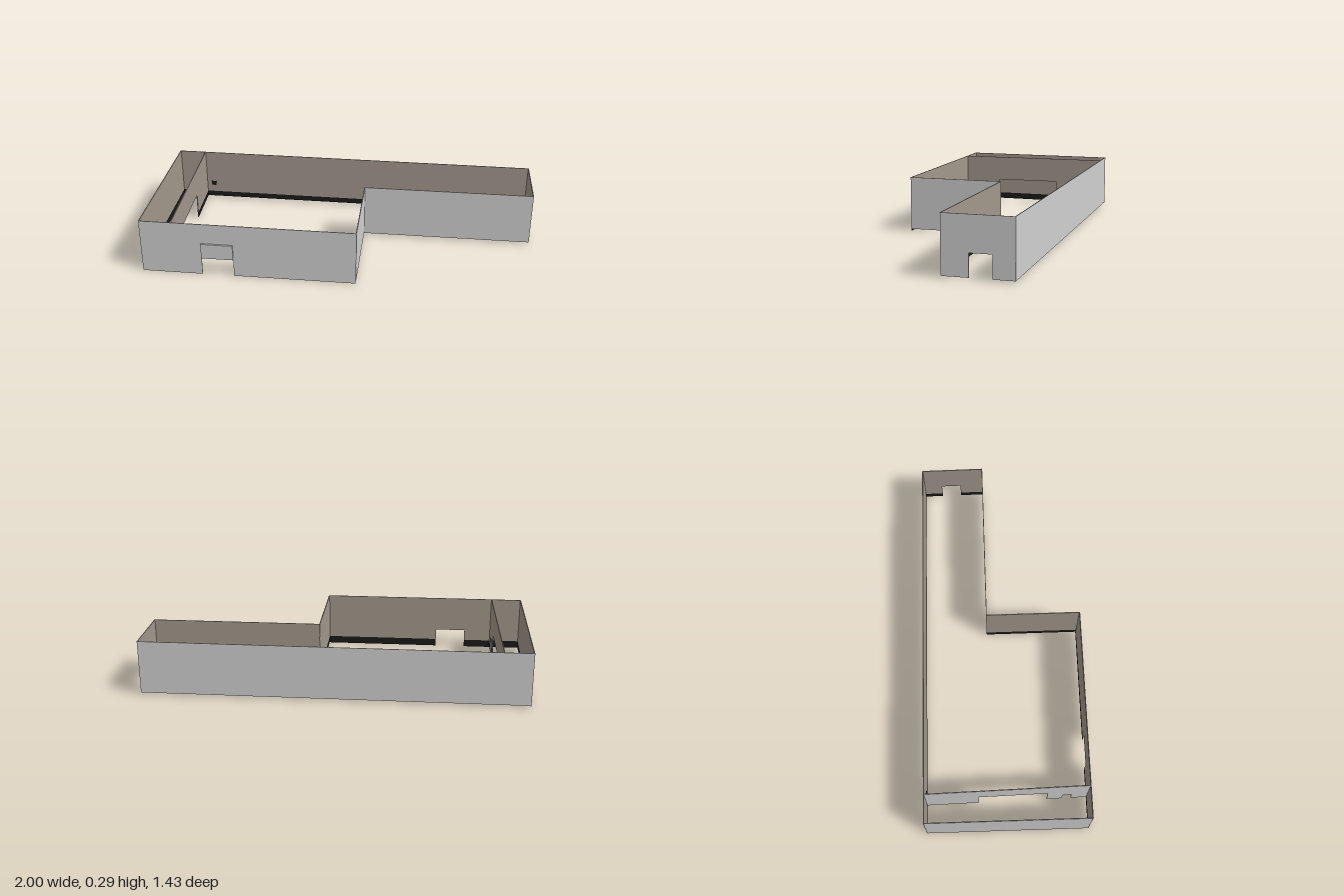
import * as THREE from 'three';

const material = (name, color) => {
  const m = new THREE.MeshStandardMaterial({ color });
  m.name = name;
  return m;
};

const TOP = 0.29;    // top of all walls
const BASE = 0.04;   // top of the dark skirting
const SKIN = 0.002;  // thickness of one wall face

export function createModel() {
  const grey = material('outer grey', 0xd0d0d0);
  const tan = material('inner tan', 0xa2988c);
  const black = material('skirting black', 0x1a1a1a);
  const model = new THREE.Group();
  model.name = 'building';

  // Thin plate in wall coordinates: x along the wall, z outwards
  function plate(parent, name, mat, x0, x1, y0, y1, z0, z1) {
    if (x1 - x0 < 1e-4 || y1 - y0 < 1e-4) return;
    const mesh = new THREE.Mesh(new THREE.BoxGeometry(x1 - x0, y1 - y0, z1 - z0), mat);
    mesh.position.set((x0 + x1) / 2, (y0 + y1) / 2, (z0 + z1) / 2);
    mesh.name = name;
    parent.add(mesh);
  }

  // Wall from a to b, grey outside, tan with skirting inside;
  // openings are [start, end, height] with start and end as fractions of the length
  function wall(name, a, b, bottom = 0.01, openings = []) {
    const dx = b[0] - a[0], dz = b[1] - a[1], length = Math.hypot(dx, dz);
    const group = new THREE.Group();
    group.name = name;
    group.position.set(a[0], 0, a[1]);
    group.rotation.y = Math.atan2(-dz, dx);
    const pieces = [];
    let from = 0;
    for (const [t0, t1, height] of openings) {
      pieces.push([from, t0, bottom], [t0, t1, height]);
      from = t1;
    }
    pieces.push([from, 1, bottom]);
    for (const [t0, t1, low] of pieces) {
      const x0 = t0 * length, x1 = t1 * length;
      plate(group, 'outerFace', grey, x0, x1, low, TOP, 0, SKIN);
      plate(group, 'innerFace', tan, x0, x1, Math.max(low, BASE), TOP, -SKIN, 0);
      plate(group, 'skirting', black, x0, x1, low, BASE, -SKIN, 0);
    }
    model.add(group);
    return { group, length };
  }

  // Corners of the L-shaped plan as x, z
  const A = [-0.998, -0.085], B = [0.887, -0.714], C = [0.998, -0.398];
  const D = [0.152, -0.112], E = [0.312, 0.36], F = [-0.73, 0.71];

  const front = wall('frontWall', F, E, 0, [[0.284, 0.433, 0.1]]);
  wall('innerCornerSideWall', E, D);
  wall('innerCornerFrontWall', D, C);
  wall('endWall', C, B, 0.01, [[0.38, 0.7, 0.12]]);
  const back = wall('backWall', B, A);
  wall('sideWall', A, F, 0.005);

  // Partition with a wide opening and a narrow doorway
  wall('partition', [-0.86, -0.13], [-0.575, 0.657], 0.01,
    [[0.325, 0.75, 0.15], [0.845, 0.9, 0.09]]);

  // Raised shutter above the front opening
  plate(front.group, 'shutter', grey, 0.284 * front.length, 0.433 * front.length,
    0.098, 0.18, SKIN, 0.011);

  // Small dark socket on the inside of the back wall
  plate(back.group, 'socket', black, 0.9 * back.length, 0.913 * back.length,
    0.082, 0.106, -0.006, -SKIN);

  return model;
}
